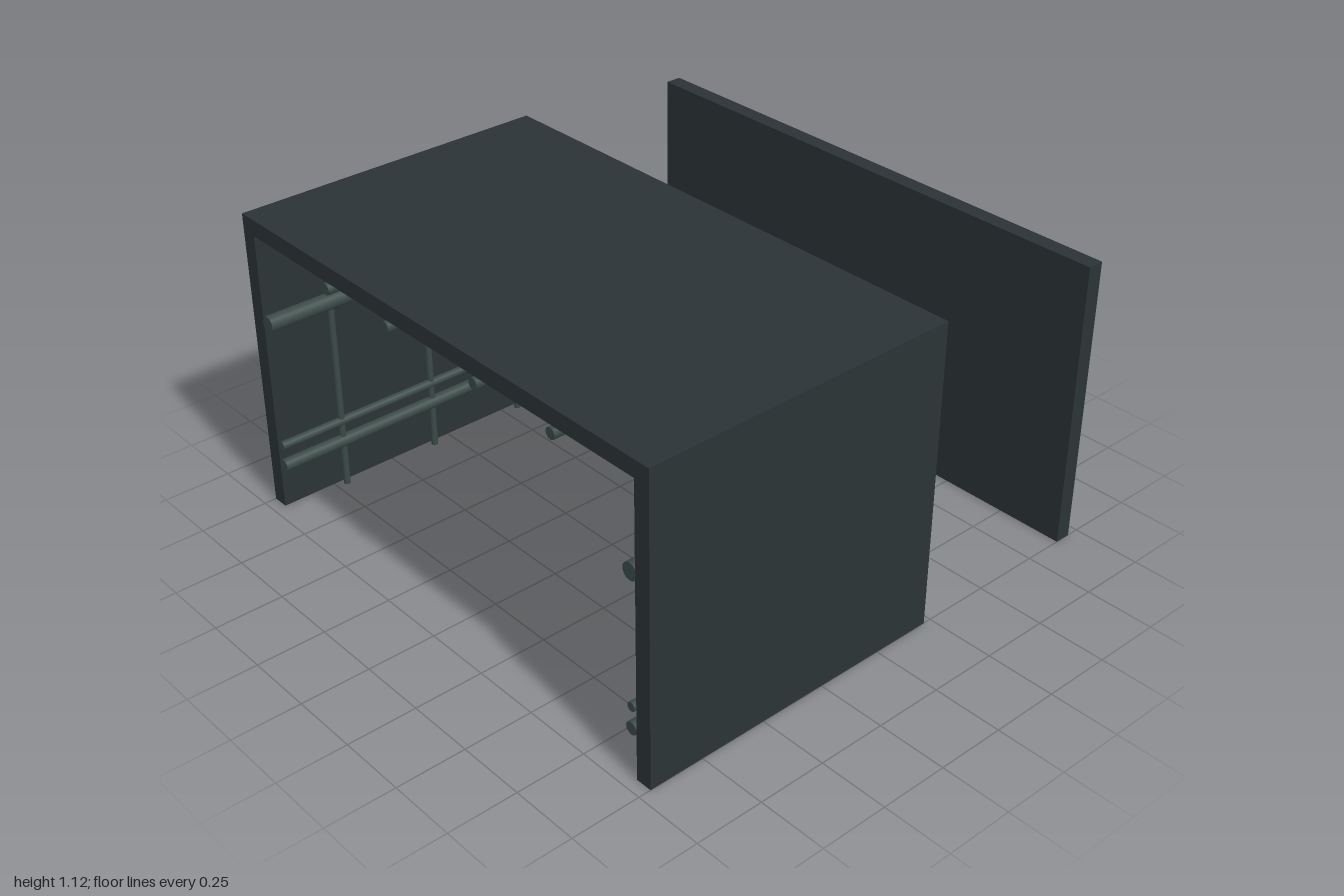
import * as THREE from 'three';

const mat = (color, roughness = 1) => new THREE.MeshStandardMaterial({ color, roughness });

export function createModel() {
  const model = new THREE.Group();
  const wall = mat(0x2b3336), wood = mat(0x2e2521), metal = mat(0x3a4a47), cream = mat(0xd8d0c0);

  // Box given by its lower and upper corners
  const box = (name, m, [x0, y0, z0], [x1, y1, z1], parent = model) => {
    const mesh = new THREE.Mesh(new THREE.BoxGeometry(x1 - x0, y1 - y0, z1 - z0), m);
    mesh.position.set((x0 + x1) / 2, (y0 + y1) / 2, (z0 + z1) / 2);
    mesh.name = name;
    parent.add(mesh);
  };
  // Round pipe between two points
  const pipe = (name, r, from, to, parent) => {
    const a = new THREE.Vector3(...from), b = new THREE.Vector3(...to);
    const mesh = new THREE.Mesh(new THREE.CylinderGeometry(r, r, a.distanceTo(b), 16), metal);
    mesh.position.copy(a).add(b).multiplyScalar(0.5);
    mesh.quaternion.setFromUnitVectors(new THREE.Vector3(0, 1, 0), b.sub(a).normalize());
    mesh.name = name;
    parent.add(mesh);
  };

  const back = -0.22, front = 0.955;

  // Shell and the detached panel behind it
  box('roof', wall, [-1, 1.06, back], [1, 1.12, front]);
  box('leftWall', wall, [0.94, 0, back], [1, 1.06, front]);
  box('rightWall', wall, [-1, 0, back], [-0.94, 1.06, front]);
  box('backPanel', wall, [-1, 0, -0.955], [1, 1.06, -0.895]);

  // Barred grate with an open middle bay
  const grate = new THREE.Group();
  grate.name = 'grate';
  model.add(grate);
  box('topBeam', wood, [-0.999, 1.0, back - 0.001], [0.999, 1.06, -0.17], grate);
  box('sill', wood, [-0.999, 0.001, back - 0.001], [0.999, 0.027, -0.17], grate);
  for (const y of [0.175, 0.78]) box('rail', wood, [-0.94, y - 0.01, -0.21], [0.94, y + 0.01, -0.18], grate);
  for (const side of [-1, 1])
    for (let i = 0; i < 8; i++) {
      const x = side * (0.122 + i * 0.103);
      box('bar', wood, [x - 0.012, 0.02, -0.207], [x + 0.012, 1.01, -0.183], grate);
    }

  // Lock plate on the lower rail
  const lock = new THREE.Group();
  lock.name = 'lock';
  model.add(lock);
  box('lockHead', cream, [-0.022, 0.14, -0.215], [0.022, 0.2, -0.165], lock);
  box('lockTail', cream, [-0.018, 0.08, -0.205], [0.018, 0.14, -0.17], lock);

  // Pipework along both walls
  for (const side of [-1, 1]) {
    const pipes = new THREE.Group();
    pipes.name = side > 0 ? 'leftPipes' : 'rightPipes';
    model.add(pipes);
    const x = side * 0.917;
    for (const [y, r] of [[0.74, 0.03], [0.26, 0.016], [0.18, 0.023]])
      pipe('wallPipe', r, [x, y, -0.17], [x, y, front], pipes);
    for (const z of [0.71, 0.325, -0.06]) pipe('riser', 0.012, [x, 0, z], [x, 1.05, z], pipes);
  }

  // Pipes under the roof
  const ceiling = new THREE.Group();
  ceiling.name = 'ceilingPipes';
  model.add(ceiling);
  for (const x of [-0.53, -0.21, 0.23, 0.585])
    pipe('ceilingPipe', 0.02, [x, 1.03, -0.17], [x, 1.03, front], ceiling);

  return model;
}
